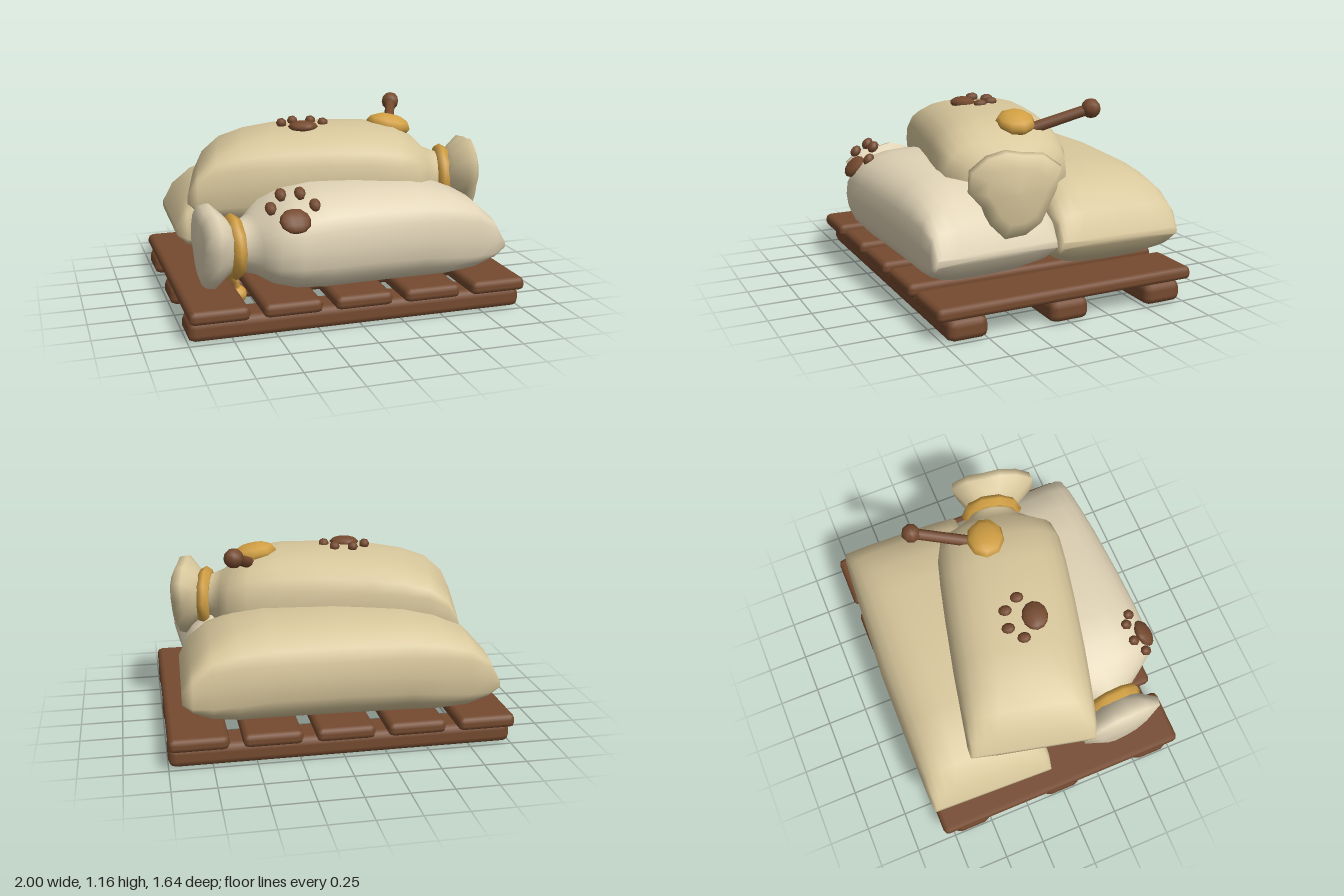
import * as THREE from 'three';
import { RoundedBoxGeometry } from 'three/addons/geometries/RoundedBoxGeometry.js';

const mat = (color) => new THREE.MeshStandardMaterial({ color, roughness: 0.9 });
const wood = mat(0x754a2f), paleCloth = mat(0xe0d3b6), tanCloth = mat(0xd8c79c), gold = mat(0xd2a044);

function add(parent, name, geometry, material, x = 0, y = 0, z = 0) {
  const mesh = new THREE.Mesh(geometry, material);
  mesh.name = name;
  mesh.position.set(x, y, z);
  parent.add(mesh);
  return mesh;
}

// Closed skin along x: each section is a ring of points from point(section, angle) -> [z, y]
function loft(sections, point, sides) {
  const pos = [], index = [];
  sections.forEach((s) => {
    for (let j = 0; j < sides; j++) {
      const [z, y] = point(s, (j / sides) * Math.PI * 2);
      pos.push(s[0], y, z);
    }
  });
  for (let i = 0; i < sections.length - 1; i++) {
    for (let j = 0; j < sides; j++) {
      const k = (j + 1) % sides;
      const a = i * sides + j, b = a + sides, c = (i + 1) * sides + k, d = i * sides + k;
      index.push(a, b, c, a, c, d);
    }
  }
  const g = new THREE.BufferGeometry();
  g.setAttribute('position', new THREE.Float32BufferAttribute(pos, 3));
  g.setIndex(index);
  g.computeVertexNormals();
  return g;
}

// Sack section: [x, half width, bottom, top, squareness]
function sackPoint([, w, y0, y1, n], a) {
  const p = (v) => Math.sign(v) * Math.pow(Math.abs(v), 2 / n);
  return [w * p(Math.cos(a)), (y0 + y1) / 2 + ((y1 - y0) / 2) * p(Math.sin(a))];
}

// Gathered cloth section: [x, radius, strength of the folds]
function rufflePoint([, r, f], a) {
  const k = r * (1 + f * (0.14 * Math.sin(3 * a) + 0.05 * Math.sin(5 * a + 1)));
  return [k * Math.cos(a) + 0.03 * f, 0.25 + k * Math.sin(a) + 0.02 * f];
}

// Sewn flat end, measured from the tip inwards
const sewnEnd = [
  [0, 0, 0.205, 0.205, 2],
  [0, 0.375, 0.18, 0.23, 7],
  [0.06, 0.385, 0.1, 0.37, 4.5],
  [0.17, 0.39, 0.035, 0.48, 3.5],
  [0.32, 0.395, 0.005, 0.54, 3],
  [0.5, 0.4, 0, 0.575, 2.7],
];
const sewnAt = (tip, dir) => sewnEnd.map(([d, ...rest]) => [tip + dir * d, ...rest]);

function pillowSack(material) {
  const g = new THREE.Group();
  const sections = [...sewnAt(-0.9, 1), [0, 0.41, 0, 0.59, 2.6], ...sewnAt(0.9, -1).reverse()];
  add(g, 'sackBody', loft(sections, sackPoint, 24), material);
  return g;
}

// Sack with its neck tied at +x
function tiedSack(material) {
  const g = new THREE.Group();
  const sections = [
    ...sewnAt(-0.82, 1),
    [0, 0.4, 0, 0.59, 2.6],
    [0.25, 0.395, 0, 0.585, 2.6],
    [0.42, 0.385, 0.015, 0.555, 2.6],
    [0.54, 0.355, 0.05, 0.49, 2.5],
    [0.61, 0.25, 0.09, 0.42, 2.2],
    [0.67, 0.155, 0.1, 0.4, 2],
    [0.78, 0.13, 0.12, 0.38, 2],
    [0.78, 0, 0.25, 0.25, 2],
  ];
  add(g, 'sackBody', loft(sections, sackPoint, 24), material);
  const ruffle = [
    [0.72, 0, 0], [0.72, 0.13, 0], [0.77, 0.18, 0.5], [0.84, 0.245, 1],
    [0.89, 0.235, 1], [0.92, 0.16, 0.8], [0.925, 0, 0.8],
  ];
  add(g, 'ruffle', loft(ruffle, rufflePoint, 14), material);
  const tie = add(g, 'neckTie', new THREE.TorusGeometry(0.15, 0.042, 6, 10), gold, 0.72, 0.25, 0);
  tie.rotation.y = Math.PI / 2;
  return g;
}

// Paw badge facing local +z, toes towards +y
function paw() {
  const g = new THREE.Group();
  const ball = new THREE.SphereGeometry(1, 10, 6);
  add(g, 'pawPad', ball, wood).scale.set(0.09, 0.077, 0.035);
  [[-0.125, 0.085], [-0.055, 0.165], [0.055, 0.165], [0.125, 0.085]].forEach(([x, y]) =>
    add(g, 'pawToe', new THREE.SphereGeometry(1, 7, 5), wood, x, y, 0.008).scale.set(0.033, 0.04, 0.03));
  g.rotation.order = 'YXZ';
  return g;
}

function place(parent, part, name, x, y, z, ry = 0, rx = 0) {
  part.name = name;
  part.position.set(x, y, z);
  part.rotation.y = ry;
  part.rotation.x = rx;
  parent.add(part);
  return part;
}

export function createModel() {
  const model = new THREE.Group();
  model.name = 'sacksOnPallet';

  // Pallet
  const pallet = place(model, new THREE.Group(), 'pallet', 0, 0, 0);
  for (const z of [-0.62, -0.005, 0.61])
    add(pallet, 'runner', new RoundedBoxGeometry(2, 0.13, 0.24, 1, 0.045), wood, 0, 0.065, z);
  for (let i = -2; i <= 2; i++)
    add(pallet, 'slat', new RoundedBoxGeometry(0.34, 0.08, 1.6, 1, 0.032), wood, i * 0.415, 0.162, -0.01);

  // Three sacks
  place(model, pillowSack(tanCloth), 'backSack', 0, 0.2, -0.41, -0.033);
  place(model, tiedSack(paleCloth), 'frontSack', 0.04, 0.2, 0.41, Math.PI + 0.05);
  place(model, tiedSack(tanCloth), 'topSack', -0.01, 0.47, 0.037, -0.226);

  // Paw badges
  place(model, paw(), 'frontPaw', -0.4, 0.66, 0.76, 0, -0.75);
  place(model, paw(), 'topPaw', -0.17, 1.055, 0.12, -0.22, -Math.PI / 2);

  // Loose cord of the front tie, hanging through the slats
  const cord = new THREE.CatmullRomCurve3([
    [-0.69, 0.31, 0.42], [-0.68, 0.24, 0.36], [-0.645, 0.19, 0.31], [-0.625, 0.12, 0.29],
  ].map((p) => new THREE.Vector3(...p)));
  add(model, 'cord', new THREE.TubeGeometry(cord, 8, 0.022, 6), gold);
  add(model, 'cordBead', new THREE.SphereGeometry(0.055, 8, 6), gold, -0.625, 0.105, 0.29);

  // Scoop resting in the top sack
  const scoop = place(model, new THREE.Group(), 'scoop', 0, 0, 0);
  const bowl = add(scoop, 'scoopBowl', new THREE.SphereGeometry(1, 9, 6), gold, 0.405, 1.025, 0.045);
  bowl.scale.set(0.14, 0.065, 0.115);
  bowl.rotation.set(0, -0.3, -0.2);
  const start = new THREE.Vector3(0.44, 0.985, -0.04), end = new THREE.Vector3(0.57, 1.1, -0.36);
  const dir = end.clone().sub(start);
  const handle = add(scoop, 'scoopHandle', new THREE.CylinderGeometry(0.032, 0.034, dir.length(), 8), wood);
  handle.position.copy(start).addScaledVector(dir, 0.5);
  handle.quaternion.setFromUnitVectors(new THREE.Vector3(0, 1, 0), dir.normalize());
  add(scoop, 'scoopKnob', new THREE.SphereGeometry(0.058, 8, 6), wood, end.x, end.y, end.z);

  return model;
}
